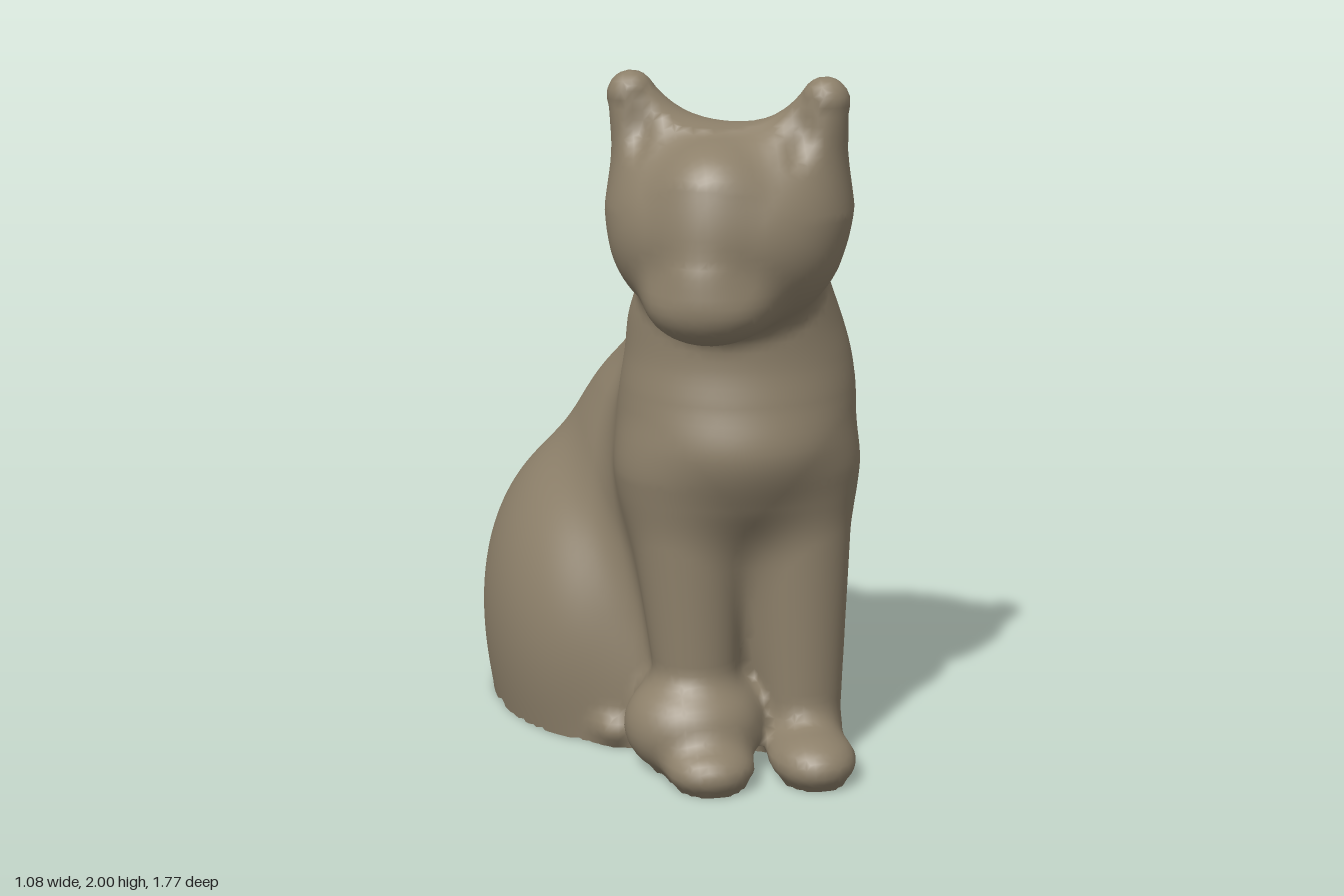
import * as THREE from 'three';

const clay = new THREE.MeshStandardMaterial({ color: 0x8d806a });
clay.name = 'clay';

// ---- Soft solids: functions giving the distance from a point to a form ----
const blend = (a, b, k) => {
  const h = Math.max(k - Math.abs(a - b), 0) / k;
  return Math.min(a, b) - h * h * k / 4;
};
const ellipsoid = (cx, cy, cz, rx, ry, rz) => (x, y, z) => {
  const a = (x - cx) / rx, b = (y - cy) / ry, c = (z - cz) / rz;
  const q = Math.hypot(a, b, c);
  return q * (q - 1) / (Math.hypot(a / rx, b / ry, c / rz) + 1e-6);
};
// Rounded limb tapering from radius r0 to r1
const limb = ([ax, ay, az], r0, [bx, by, bz], r1) => {
  const dx = bx - ax, dy = by - ay, dz = bz - az, len2 = dx * dx + dy * dy + dz * dz;
  return (x, y, z) => {
    const t = Math.min(1, Math.max(0, ((x - ax) * dx + (y - ay) * dy + (z - az) * dz) / len2));
    return Math.hypot(x - ax - dx * t, y - ay - dy * t, z - az - dz * t) - r0 - (r1 - r0) * t;
  };
};
// Stack of elliptical sections, each [y, centre x, centre z, half width, half depth]
const loft = (sections) => {
  const curve = new THREE.CubicInterpolant(
    sections.map((s) => s[0]), sections.flatMap((s) => s.slice(1)), 4, new Float32Array(4));
  const top = sections[sections.length - 1][0];
  return (x, y, z) => {
    const [cx, cz, rx, rz] = curve.evaluate(y);
    const a = (x - cx) / rx, c = (z - cz) / rz, q = Math.hypot(a, c);
    return Math.max(q * (q - 1) / (Math.hypot(a / rx, c / rz) + 1e-6), y - top);
  };
};
const union = (k, ...forms) => (x, y, z) => forms.reduce((d, f) => blend(d, f(x, y, z), k), 9);

// ---- Torso ----
const chest = loft([
  [0, 0.16, 0.25, 0.27, 0.18], [0.3, 0.15, 0.24, 0.24, 0.19], [0.6, 0.14, 0.27, 0.28, 0.24],
  [0.8, 0.14, 0.33, 0.33, 0.31], [0.95, 0.14, 0.355, 0.34, 0.345], [1.1, 0.145, 0.36, 0.335, 0.31],
  [1.2, 0.145, 0.36, 0.32, 0.29], [1.3, 0.135, 0.365, 0.30, 0.285], [1.4, 0.125, 0.40, 0.27, 0.26],
  [1.6, 0.10, 0.45, 0.24, 0.20], [1.75, 0.09, 0.49, 0.20, 0.15], [1.84, 0.08, 0.52, 0.14, 0.10],
]);
const rump = loft([
  [0, -0.02, -0.19, 0.43, 0.57], [0.2, -0.01, -0.19, 0.41, 0.57], [0.4, 0, -0.18, 0.39, 0.54],
  [0.6, 0, -0.16, 0.35, 0.51], [0.8, 0.01, -0.12, 0.31, 0.47], [1.0, 0.05, -0.04, 0.26, 0.41],
  [1.1, 0.08, 0.03, 0.23, 0.36], [1.2, 0.11, 0.13, 0.21, 0.26], [1.25, 0.12, 0.21, 0.18, 0.19],
  [1.34, 0.12, 0.34, 0.12, 0.1],
]);

// ---- Head, turned a little to its right; ears have hollow fronts ----
const skull = union(0.07,
  ellipsoid(0, 0, 0, 0.325, 0.28, 0.29),
  ellipsoid(0, -0.165, 0.185, 0.17, 0.115, 0.15),
  limb([0, 0.11, 0.16], 0.12, [0, -0.08, 0.23], 0.08));
const ear = limb([0.175, 0.13, -0.03], 0.155, [0.268, 0.355, 0.005], 0.066);
const earHollow = ellipsoid(0.215, 0.285, 0.165, 0.055, 0.12, 0.1);
const earPair = (x, y, z) =>
  -blend(-ear(Math.abs(x), y, z), earHollow(Math.abs(x), y, z), 0.05);
const yaw = -0.435, cosY = Math.cos(yaw), sinY = Math.sin(yaw);
const onHead = (f) => (x, y, z) => {
  const dx = x - 0.075, dz = z - 0.565;
  return f(dx * cosY - dz * sinY, y - 1.58, dx * sinY + dz * cosY);
};

// ---- Tail wrapped around the left side ----
const tailPath = new THREE.CatmullRomCurve3([
  [-0.23, -0.55], [-0.17, -0.71], [-0.03, -0.8], [0.16, -0.745], [0.33, -0.58], [0.43, -0.35],
  [0.45, -0.1], [0.43, 0.12], [0.38, 0.3], [0.33, 0.45],
].map(([x, z]) => new THREE.Vector3(x, 0.075, z))).getPoints(24).map((p) => p.toArray());
const tailPieces = tailPath.slice(1).map((p, i) => limb(tailPath[i], 0.086, p, 0.086));
const tail = (x, y, z) => tailPieces.reduce((d, f) => Math.min(d, f(x, y, z)), 9);

// Parts with the softness of the join to the parts before them
const parts = [
  { name: 'torso', soft: 0.05, form: union(0.1, chest, rump) },
  { name: 'rightHaunch', soft: 0.18, form: ellipsoid(-0.28, 0.28, -0.19, 0.26, 0.46, 0.44) },
  { name: 'leftHaunch', soft: 0.06, form: union(0.15,
    ellipsoid(0.295, 0.38, -0.12, 0.235, 0.395, 0.24), ellipsoid(0.21, 0.28, -0.36, 0.235, 0.41, 0.3)) },
  { name: 'rightHindPaw', soft: 0.04, form: ellipsoid(-0.2, 0.05, 0.23, 0.07, 0.06, 0.13) },
  { name: 'rightFrontLeg', soft: 0.08, form: limb([-0.02, 0.86, 0.42], 0.17, [0.02, 0.1, 0.475], 0.105) },
  { name: 'leftFrontLeg', soft: 0.08, form: limb([0.3, 0.86, 0.42], 0.17, [0.32, 0.1, 0.475], 0.11) },
  { name: 'rightFrontPaw', soft: 0.05, form: union(0.05,
    ellipsoid(0, 0.13, 0.49, 0.2, 0.155, 0.185), ellipsoid(0.02, 0.055, 0.65, 0.125, 0.075, 0.12)) },
  { name: 'leftFrontPaw', soft: 0.08, form: ellipsoid(0.32, 0.06, 0.64, 0.12, 0.08, 0.14) },
  { name: 'tail', soft: 0.06, form: tail },
  { name: 'head', soft: 0.06, form: onHead(skull) },
  { name: 'ears', soft: 0.1, form: onHead(earPair) },
];
// Whole figure, cut flat at the base
const figure = (x, y, z) =>
  Math.max(parts.reduce((d, p) => blend(d, p.form(x, y, z), p.soft), 9), -y);

const gradient = ([x, y, z], e = 0.004) => new THREE.Vector3(
  figure(x + e, y, z) - figure(x - e, y, z),
  figure(x, y + e, z) - figure(x, y - e, z),
  figure(x, y, z + e) - figure(x, y, z - e)).divideScalar(2 * e);

// Skin the figure: one vertex per crossed cell, one quad per crossed edge
function skin() {
  const h = 0.025, min = [-0.6125, -0.0375, -0.9625], n = [50, 85, 78];
  const step = [1, n[0], n[0] * n[1]];
  const values = new Float32Array(n[0] * n[1] * n[2]);
  const eachCell = (fn) => {
    for (let k = 0; k < n[2]; k++) for (let j = 0; j < n[1]; j++) for (let i = 0; i < n[0]; i++)
      fn([i, j, k], i + j * step[1] + k * step[2]);
  };
  const at = (g) => g.map((v, a) => min[a] + v * h);
  eachCell((g, id) => { values[id] = figure(...at(g)); });

  const vertices = new Map(), quads = [];
  eachCell((g, id) => {
    if (g.some((v, a) => v >= n[a] - 1)) return;
    const sum = [0, 0, 0];
    let hits = 0;
    for (let c = 0; c < 8; c++) for (let a = 0; a < 3; a++) {
      if (c >> a & 1) continue;
      const corner = [c & 1, c >> 1 & 1, c >> 2 & 1];
      const from = id + corner[0] + corner[1] * step[1] + corner[2] * step[2];
      const v0 = values[from], v1 = values[from + step[a]];
      if (v0 < 0 === v1 < 0) continue;
      corner[a] += v0 / (v0 - v1);
      corner.forEach((v, i) => { sum[i] += v; });
      hits++;
    }
    if (!hits) return;
    const p = at(g.map((v, i) => v + sum[i] / hits));
    const slope = gradient(p);
    const shift = THREE.MathUtils.clamp(figure(...p) / Math.max(slope.lengthSq(), 0.1), -0.01, 0.01);
    const position = p.map((v, i) => v - slope.getComponent(i) * shift);
    if (position[1] < h / 2) position[1] = 0; // crisp base edge
    const [x, y, z] = position;
    vertices.set(id, { position, normal: gradient([x, Math.max(y, 0.02), z]).normalize().toArray() });
  });
  eachCell((g, id) => {
    for (let a = 0; a < 3; a++) {
      if (g[a] >= n[a] - 1 || values[id] < 0 === values[id + step[a]] < 0) continue;
      const b = step[(a + 1) % 3], c = step[(a + 2) % 3];
      let quad = [id - b - c, id - c, id, id - b].map((v) => vertices.get(v));
      if (quad.every((v) => v.position[1] === 0)) // flat underside
        quad = quad.map(({ position }) => ({ position, normal: [0, -1, 0] }));
      quads.push(values[id] < 0 ? quad : quad.reverse());
    }
  });
  return quads;
}

export function createModel() {
  const group = new THREE.Group();
  group.name = 'sittingCat';
  const faces = parts.map(() => []);
  // Give every quad to the part it lies closest to
  for (const quad of skin()) {
    const d = parts.map((p) => p.form(...quad[0].position));
    faces[d.indexOf(Math.min(...d))].push(quad);
  }
  parts.forEach(({ name }, i) => {
    if (!faces[i].length) return;
    const corners = faces[i].flatMap(([a, b, c, d]) => [a, b, c, a, c, d]);
    const geometry = new THREE.BufferGeometry();
    for (const key of ['position', 'normal'])
      geometry.setAttribute(key, new THREE.Float32BufferAttribute(corners.flatMap((v) => v[key]), 3));
    const mesh = new THREE.Mesh(geometry, clay);
    mesh.name = name;
    group.add(mesh);
  });
  return group;
}
